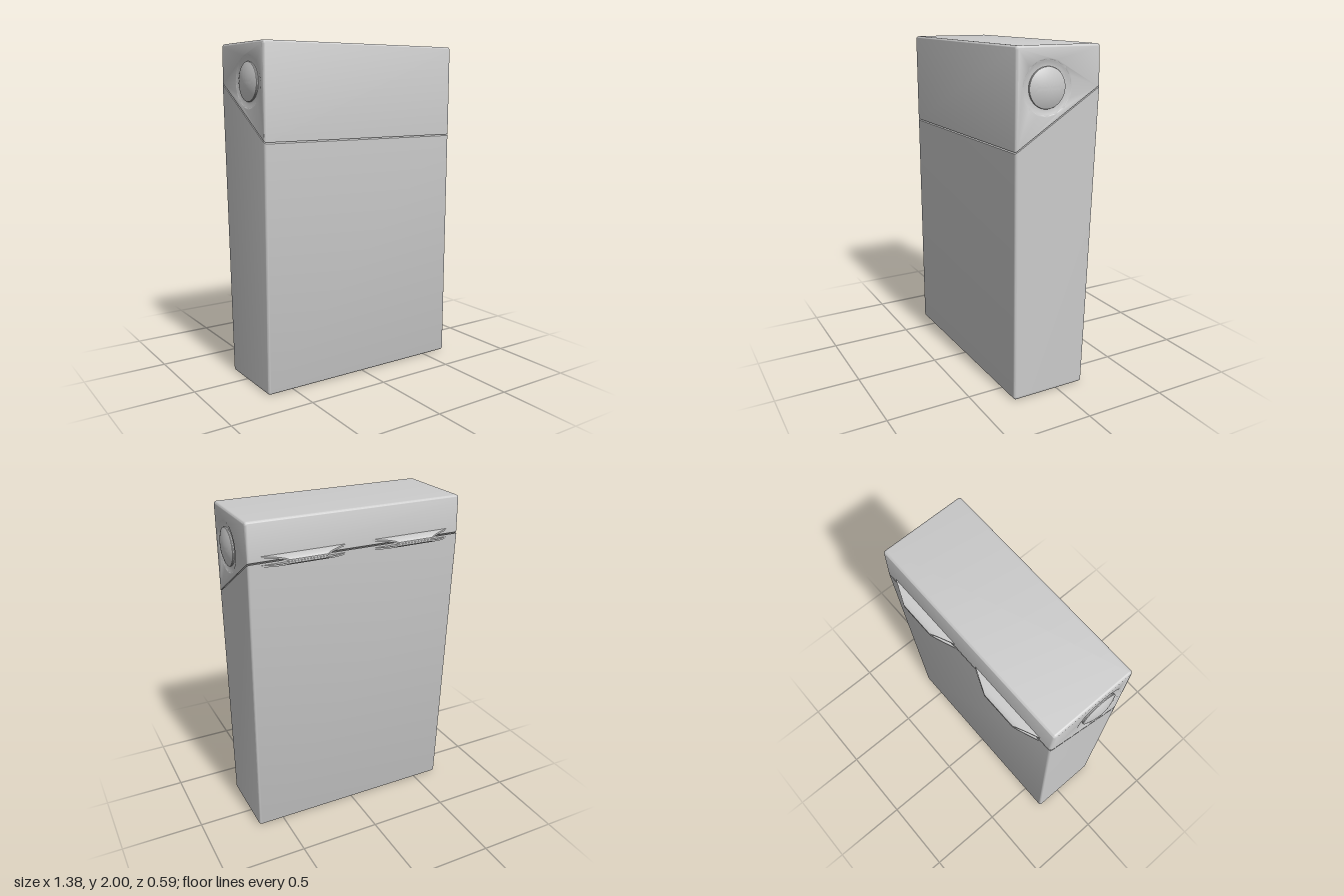
import * as THREE from 'three';
import { toCreasedNormals } from 'three/addons/utils/BufferGeometryUtils.js';

const HALF = 0.665, BEVEL = 0.015, GAP = 0.004;
const BUTTON = { z: 0.1, y: 1.78 };
const material = new THREE.MeshStandardMaterial({ color: 0xcccccc });
const thin = new THREE.MeshStandardMaterial({ color: 0xcccccc, side: THREE.DoubleSide });

// Height of the slanted cut between lid and body at depth z
const seam = (z) => 1.45 + (0.29 - z) * 0.619;

function add(group, name, geometry, mat = material) {
  const mesh = new THREE.Mesh(geometry, mat);
  mesh.name = name;
  group.add(mesh);
  return mesh;
}

// Side profile from [z, y, cornerRadius] points, drawn with x = -z
function profile(points) {
  const shape = new THREE.Shape();
  const n = points.length;
  points.forEach(([z, y, r], i) => {
    const p = new THREE.Vector2(-z, y);
    const toward = ([qz, qy]) => new THREE.Vector2(-qz, qy).sub(p).setLength(r).add(p);
    const a = toward(points[(i + n - 1) % n]);
    const b = toward(points[(i + 1) % n]);
    if (i === 0) shape.moveTo(a.x, a.y);
    else shape.lineTo(a.x, a.y);
    if (r > 0) shape.quadraticCurveTo(p.x, p.y, b.x, b.y);
  });
  return shape;
}

// Rounded shell across the full width; the cut face stays flat and sharp
function shell(shape, offset) {
  const geo = new THREE.ExtrudeGeometry(shape, {
    depth: 2 * (HALF - BEVEL), curveSegments: 8,
    bevelSize: BEVEL, bevelThickness: BEVEL, bevelOffset: -BEVEL, bevelSegments: 4,
  });
  geo.translate(0, 0, -(HALF - BEVEL)).rotateY(Math.PI / 2);
  const pos = geo.attributes.position;
  for (let i = 0; i < pos.count; i++) {
    const cut = seam(pos.getZ(i)) + offset;
    if (Math.abs(pos.getY(i) - cut) < 0.021) pos.setY(i, cut);
  }
  return toCreasedNormals(geo, 0.6);
}

// Lathe from [radius, height] points, its axis turned to point along +x
function sideLathe(points) {
  const geo = new THREE.LatheGeometry(points.map(([r, h]) => new THREE.Vector2(r, h)), 48);
  return toCreasedNormals(geo.rotateZ(-Math.PI / 2), 0.6);
}

// Thin curved hinge leaf: wide at the case, narrow at its outer edge
function hingeLeaf(sign) {
  const geo = new THREE.BoxGeometry(1, 1, 1, 1, 1, 8);
  const pos = geo.attributes.position;
  for (let i = 0; i < pos.count; i++) {
    const t = 0.5 - pos.getZ(i);
    const arc = 0.025 * Math.sqrt(1 - 0.95 * t * t);
    pos.setXYZ(i,
      pos.getX(i) * 2 * THREE.MathUtils.lerp(0.265, 0.11, t),
      sign * arc + pos.getY(i) * 0.01,
      -0.232 - 0.065 * t);
  }
  return toCreasedNormals(geo, 0.6);
}

export function createModel() {
  const model = new THREE.Group();
  model.name = 'flipTopCase';

  // Body, tapering toward the bottom
  const bodyShape = profile([
    [0.29, 0, 0.02], [-0.175, 0, 0.02],
    [-0.238, seam(-0.238) - GAP, 0], [0.29, seam(0.29) - GAP, 0],
  ]);
  add(model, 'body', shell(bodyShape, -GAP));

  // Lid, with a round opening in both sides for the dishes
  const lidShape = profile([
    [0.29, seam(0.29) + GAP, 0], [-0.238, seam(-0.238) + GAP, 0],
    [-0.232, 2, 0.02], [0.29, 2, 0.02],
  ]);
  const hole = new THREE.Path();
  hole.absarc(-BUTTON.z, BUTTON.y, 0.14, 0, Math.PI * 2, true);
  lidShape.holes.push(hole);
  add(model, 'lid', shell(lidShape, GAP));

  // Shallow dish and domed button on each side
  const dish = sideLathe([
    [0.1, -0.009], [0.115, -0.009], [0.125, -0.008],
    [0.14, -0.004], [0.15, -0.0007], [0.155, 0],
  ]);
  const dome = [[0.11, -0.012], [0.112, -0.002], [0.11, 0.002]];
  for (let i = 1; i <= 10; i++) {
    const r = 0.11 * (1 - i / 10);
    dome.push([r, 0.026 - 0.024 * (r / 0.11) ** 2]);
  }
  const button = sideLathe(dome);
  for (const [side, turn] of [['left', 0], ['right', Math.PI]]) {
    const group = new THREE.Group();
    group.name = side + 'Button';
    add(group, 'dish', dish, thin);
    add(group, 'dome', button, thin);
    group.position.set(turn ? -HALF : HALF, BUTTON.y, BUTTON.z);
    group.rotation.y = turn;
    model.add(group);
  }

  // Two hinges on the back, each with an upper and a lower leaf
  for (const [side, x] of [['left', 0.335], ['right', -0.335]]) {
    const hinge = new THREE.Group();
    hinge.name = side + 'Hinge';
    add(hinge, 'upperLeaf', hingeLeaf(1), thin);
    add(hinge, 'lowerLeaf', hingeLeaf(-1), thin);
    hinge.position.set(x, 1.78, 0);
    model.add(hinge);
  }
  return model;
}
